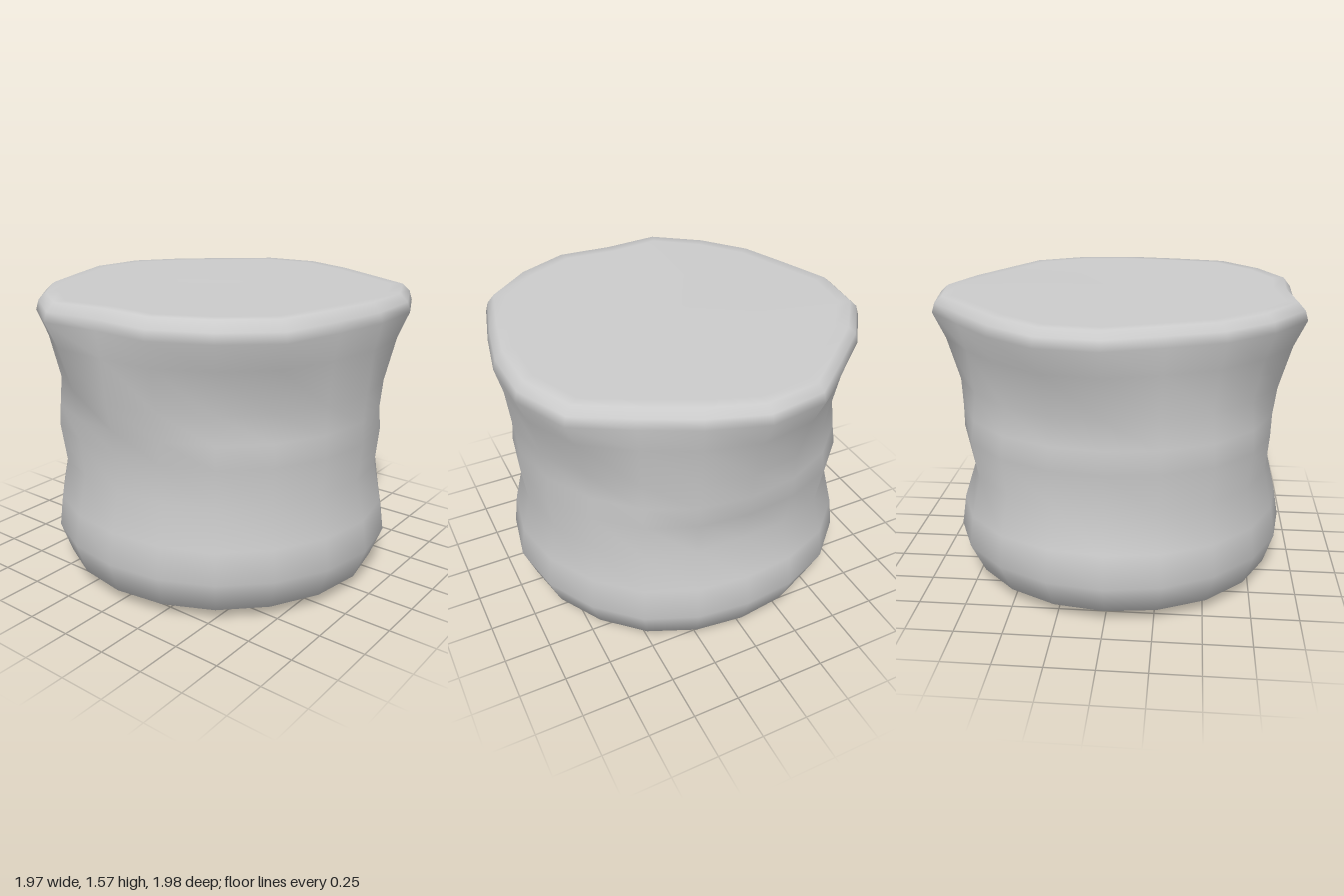
import * as THREE from 'three';

const SIDES = 20;

// Irregular rim radii, every 18 degrees from +x towards +z
const RIM = [0.98, 0.97, 1.04, 1.02, 1.01, 0.95, 1.03, 0.99, 0.965, 0.935,
  0.99, 1.0, 0.95, 0.93, 1.0, 1.0, 0.95, 0.95, 1.035, 1.02];

// Body rings: height and radii, every 45 degrees from +x towards +z
const BODY = [
  [0.07, [0.90, 0.89, 0.88, 0.88, 0.86, 0.86, 0.84, 0.87]],
  [0.24, [0.965, 0.95, 0.93, 0.94, 0.94, 0.94, 0.90, 0.94]],
  [0.41, [0.94, 0.93, 0.90, 0.92, 0.90, 0.92, 0.87, 0.91]],
  [0.62, [0.89, 0.88, 0.85, 0.88, 0.83, 0.87, 0.79, 0.88]],
  [0.83, [0.915, 0.91, 0.86, 0.91, 0.88, 0.90, 0.85, 0.89]],
  [0.95, [0.905, 0.90, 0.87, 0.90, 0.865, 0.88, 0.86, 0.88]],
  [1.10, [0.92, 0.89, 0.91, 0.88, 0.865, 0.86, 0.88, 0.89]],
];

// Smoothly sample a closed table of radii
function sample(table, turn) {
  const f = turn * table.length;
  const i = Math.floor(f);
  const t = f - i;
  const s = t * t * (3 - 2 * t);
  return table[i % table.length] * (1 - s) + table[(i + 1) % table.length] * s;
}

// Skin a stack of rings (bottom to top) and close both ends with a centre point
function loft(rings, bottomY, topY) {
  const pos = rings.flat(2);
  const index = [];
  const at = (r, i) => r * SIDES + (i % SIDES);
  const bottom = rings.length * SIDES;
  const top = bottom + 1;
  pos.push(0, bottomY, 0, 0, topY, 0);
  for (let i = 0; i < SIDES; i++) {
    for (let r = 0; r < rings.length - 1; r++) {
      const a = at(r, i), b = at(r, i + 1), c = at(r + 1, i + 1), d = at(r + 1, i);
      index.push(a, d, c, a, c, b);
    }
    index.push(bottom, at(0, i), at(0, i + 1));
    index.push(top, at(rings.length - 1, i + 1), at(rings.length - 1, i));
  }
  const geo = new THREE.BufferGeometry();
  geo.setAttribute('position', new THREE.Float32BufferAttribute(pos, 3));
  geo.setIndex(index);
  geo.computeVertexNormals();
  return geo;
}

export function createModel() {
  const group = new THREE.Group();
  group.name = 'stump';

  const ring = (radius, height) => Array.from({ length: SIDES }, (_, i) => {
    const a = (i / SIDES) * Math.PI * 2;
    const r = radius(i);
    return [Math.cos(a) * r, height(i), Math.sin(a) * r];
  });
  const body = (k) => (i) => sample(BODY[k][1], i / SIDES);
  const waist = body(BODY.length - 1);
  const topY = (i) => 1.555 + 0.015 * Math.max(0, Math.cos((i - 2.5) / SIDES * Math.PI * 2));

  const rings = [
    // Underside, with one low bump towards the back
    ring(() => 0.42, (i) => (i === 16 ? 0 : 0.045)),
    ring((i) => body(0)(i) * 0.9, () => 0.062),
    // Wavy body
    ...BODY.map(([y], k) => ring(body(k), () => y)),
    // Flare out to the irregular rim
    ring((i) => waist(i) * 0.42 + RIM[i] * 0.58 - 0.01, () => 1.33),
    ring((i) => RIM[i], () => 1.47),
    // Rounded lip and flat top
    ring((i) => RIM[i] - 0.015, () => 1.52),
    ring((i) => RIM[i] - 0.055, topY),
    ring((i) => RIM[i] - 0.12, topY),
    ring(() => 0.45, () => 1.56),
  ];

  const mesh = new THREE.Mesh(
    loft(rings, 0.045, 1.56),
    new THREE.MeshStandardMaterial({ color: 0xcccccc }),
  );
  mesh.name = 'stumpBody';
  group.add(mesh);
  return group;
}
